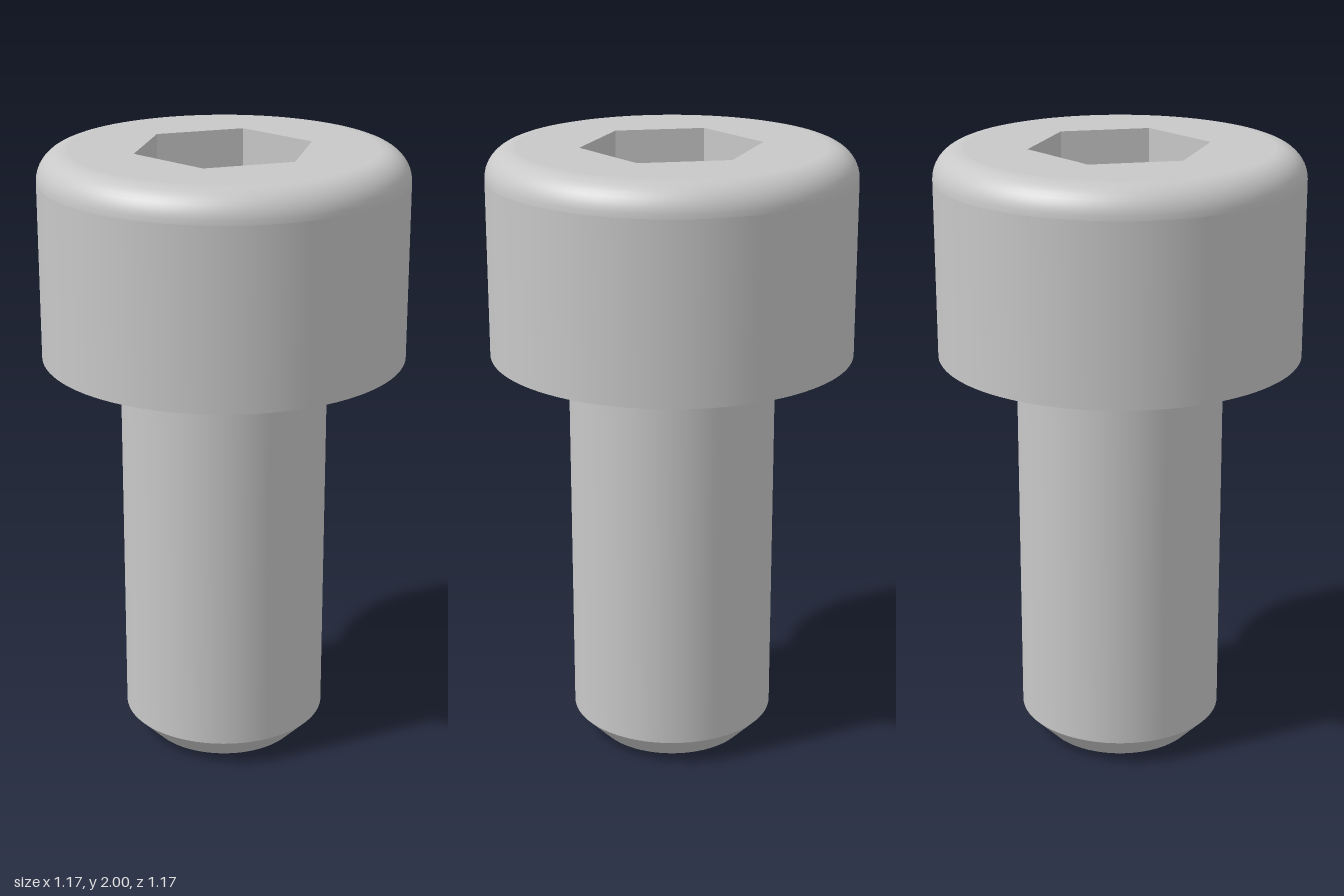
import * as THREE from 'three';

const SEGMENTS = 96;
const HEAD_R = 0.583, SHAFT_R = 0.333, TIP_R = 0.25;
const HEAD_Y = 1.335, TOP_Y = 2, ROUND = 0.095, FILLET = 0.015;
const HEX_R = 0.289, WALL_DEPTH = 0.185, FLOOR_DEPTH = 0.15;

export function createModel() {
  const model = new THREE.Group();
  model.name = 'socketHeadScrew';
  const steel = new THREE.MeshStandardMaterial({ color: 0xc8c8c8 });
  steel.name = 'steel grey';

  const add = (name, geometry) => {
    const mesh = new THREE.Mesh(geometry, steel);
    mesh.name = name;
    model.add(mesh);
  };
  // Each revolved section is separate so that edges between sections stay sharp
  const revolve = (name, points) =>
    add(name, new THREE.LatheGeometry(points.map(([x, y]) => new THREE.Vector2(x, y)), SEGMENTS));
  const arc = (cx, cy, r, from, to, steps = 10) =>
    Array.from({ length: steps + 1 }, (_, i) => {
      const a = from + (to - from) * i / steps;
      return [cx + r * Math.cos(a), cy + r * Math.sin(a)];
    });

  // Shaft with chamfered tip and a small fillet below the head
  revolve('tipFace', [[0, 0], [TIP_R, 0]]);
  revolve('tipChamfer', [[TIP_R, 0], [SHAFT_R, 0.085]]);
  revolve('shaft', [[SHAFT_R, 0.085], [SHAFT_R, HEAD_Y - FILLET]]);
  revolve('underHeadFillet', arc(SHAFT_R + FILLET, HEAD_Y - FILLET, FILLET, Math.PI, Math.PI / 2, 5));

  // Cylindrical head with rounded upper rim
  revolve('headUnderside', [[SHAFT_R + FILLET, HEAD_Y], [HEAD_R, HEAD_Y]]);
  revolve('headSide', [[HEAD_R, HEAD_Y], [HEAD_R, TOP_Y - ROUND]]);
  revolve('headRim', arc(HEAD_R - ROUND, TOP_Y - ROUND, ROUND, 0, Math.PI / 2));

  // Flat top pierced by the hexagon
  const top = new THREE.Shape().absarc(0, 0, HEAD_R - ROUND, 0, Math.PI * 2);
  const hex = Array.from({ length: 6 }, (_, i) => {
    const a = i * Math.PI / 3;
    return new THREE.Vector2(HEX_R * Math.sin(a), HEX_R * Math.cos(a));
  });
  top.holes.push(new THREE.Path(hex));
  add('headTop', new THREE.ShapeGeometry(top, SEGMENTS / 2).rotateX(-Math.PI / 2).translate(0, TOP_Y, 0));

  // Hexagonal recess: straight walls and a pointed floor, mirrored to face inwards
  const recess = (name, bottomR, height, topY) => {
    const g = new THREE.CylinderGeometry(HEX_R, bottomR, height, 6, 1, true)
      .scale(-1, 1, 1).translate(0, topY - height / 2, 0).toNonIndexed();
    g.computeVertexNormals();
    add(name, g);
  };
  recess('socketWalls', HEX_R, WALL_DEPTH, TOP_Y);
  recess('socketFloor', 0, FLOOR_DEPTH, TOP_Y - WALL_DEPTH);

  return model;
}
